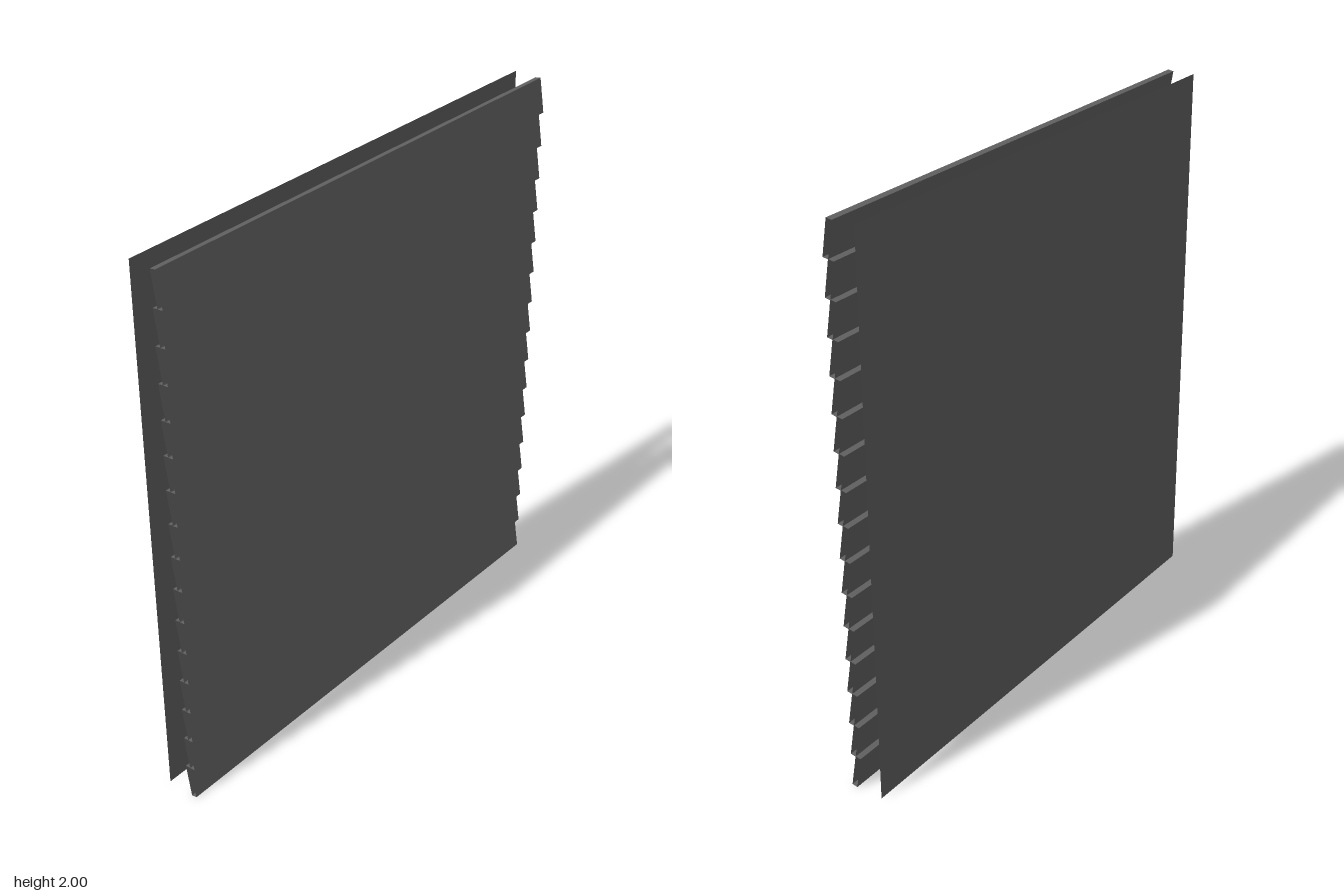
import * as THREE from 'three';

const WIDTH = 1.87;
const COUNT = 16;
const PITCH = 0.1249;
const SLAT_LENGTH = 0.1248;
const SLAT_THICKNESS = 0.021;
const TILT = 0.162;

// Slat section swept across the width, open at both ends
function slatGeometry() {
  const g = new THREE.BoxGeometry(WIDTH, SLAT_LENGTH, SLAT_THICKNESS);
  const index = Array.from(g.index.array).slice(12); // drop the two end faces
  g.setIndex(index);
  g.clearGroups();
  g.rotateX(-TILT); // lower edge leans out to the front
  g.computeBoundingBox();
  g.translate(0, -g.boundingBox.min.y, 0.0415);
  return g;
}

export function createModel() {
  const model = new THREE.Group();
  model.name = 'louvredPanel';
  const grey = new THREE.MeshStandardMaterial({ color: 0x606060, side: THREE.DoubleSide });
  grey.name = 'dark grey';

  // Overlapping horizontal slats
  const slats = new THREE.Group();
  slats.name = 'slats';
  const geometry = slatGeometry();
  for (let i = 0; i < COUNT; i++) {
    const slat = new THREE.Mesh(geometry, grey);
    slat.name = `slat${i + 1}`;
    slat.position.y = i * PITCH;
    slats.add(slat);
  }
  model.add(slats);

  // Flat sheet standing behind the slats
  const sheet = new THREE.PlaneGeometry(WIDTH, 2);
  sheet.rotateY(Math.PI);
  const back = new THREE.Mesh(sheet, grey);
  back.name = 'backSheet';
  back.position.set(0, 1, -0.062);
  model.add(back);

  return model;
}
